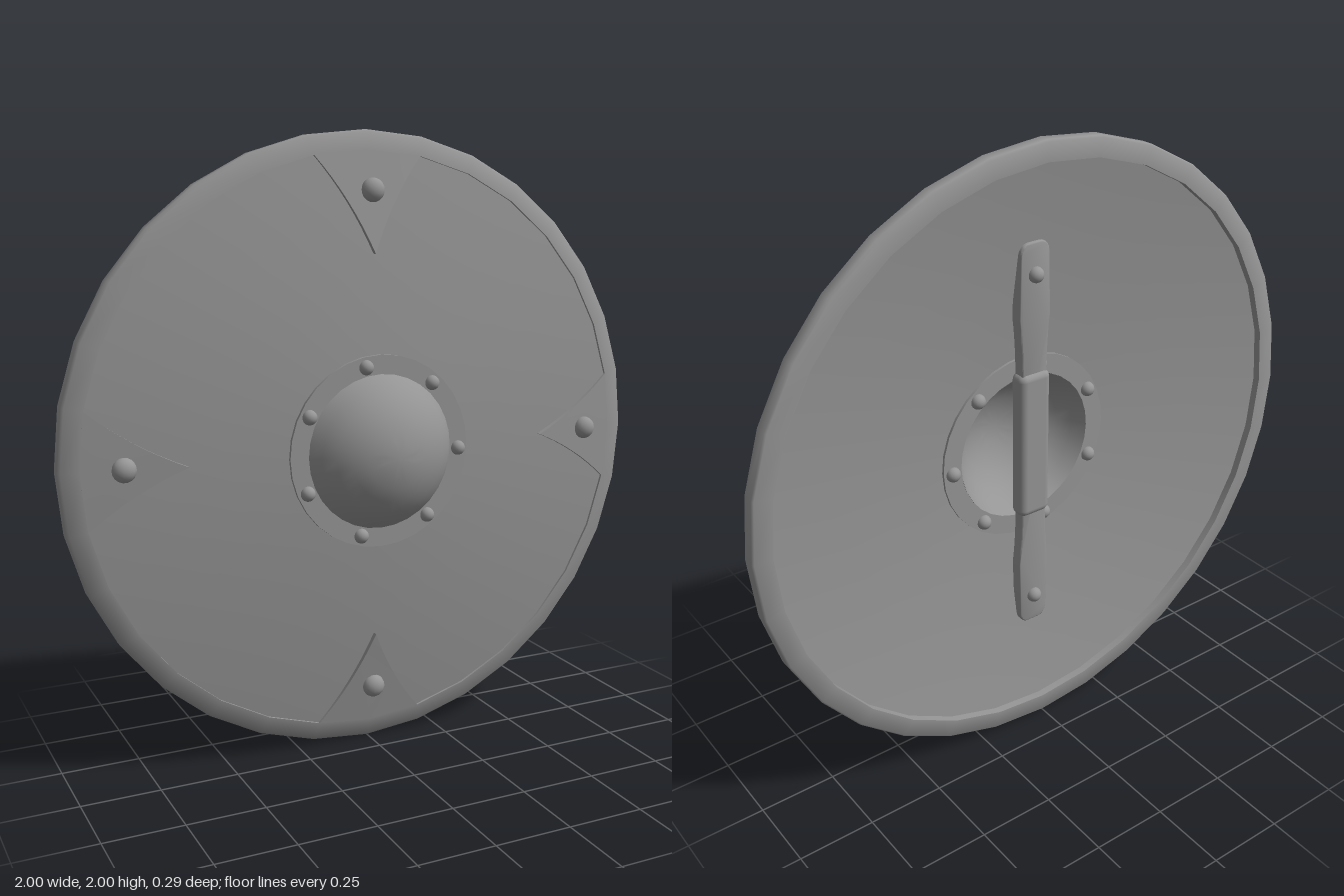
import * as THREE from 'three';
import { toCreasedNormals } from 'three/addons/utils/BufferGeometryUtils.js';
import { RoundedBoxGeometry } from 'three/addons/geometries/RoundedBoxGeometry.js';

const SIDES = 32;
const material = new THREE.MeshStandardMaterial({ color: 0x959595 });

// Front face of the shallow cone: depth at radius r
const coneZ = (r) => -0.09 * (r - 0.3) / 0.64;

export function createModel() {
  const shield = new THREE.Group();
  shield.name = 'roundShield';
  shield.position.y = 1;

  function add(name, geometry, parent = shield) {
    const mesh = new THREE.Mesh(geometry, material);
    mesh.name = name;
    parent.add(mesh);
    return mesh;
  }

  // Turned part about the z axis from [radius, z] pairs, outside going forward
  function turned(name, profile, crease = 0.6) {
    const points = profile.map(([r, z]) => new THREE.Vector2(r, z));
    const geometry = new THREE.LatheGeometry(points, SIDES).rotateX(Math.PI / 2);
    return add(name, toCreasedNormals(geometry, crease));
  }

  // Domed rivet head
  function rivet(name, x, y, z, radius, height = radius, parent = shield) {
    const mesh = add(name, new THREE.SphereGeometry(radius, 14, 10), parent);
    mesh.position.set(x, y, z);
    mesh.scale.z = height / radius;
  }

  // Board with a round opening in the middle
  turned('board', [
    [0.25, -0.03], [0.3, -0.03], [0.96, coneZ(0.96) - 0.03], [0.96, coneZ(0.96)],
    [0.3, 0], [0.25, 0], [0.25, -0.03],
  ]);

  // Rim band
  turned('rim', [
    [0.937, -0.145], [0.994, -0.145], [1, -0.139], [1, -0.102],
    [0.992, -0.092], [0.937, coneZ(0.937) + 0.008], [0.937, -0.145],
  ], 0.95);

  // Ring around the boss, on both faces of the board
  turned('bossRing', [
    [0.245, -0.04], [0.31, -0.04], [0.31, 0.01], [0.245, 0.01], [0.245, -0.04],
  ]);

  // Hollow dome: outer skin forward, inner skin back
  const cap = (edge, height, base) => {
    const R = (edge * edge + height * height) / (2 * height);
    const span = Math.asin(edge / R);
    return Array.from({ length: 7 }, (_, i) => {
      const a = span * (1 - i / 6);
      return [R * Math.sin(a), base + height - R + R * Math.cos(a)];
    });
  };
  turned('boss', [...cap(0.25, 0.137, 0.008), ...cap(0.245, 0.172, -0.041).reverse()]);

  // Seven rivets through the ring
  for (let i = 0; i < 7; i++) {
    const a = (i / 7) * Math.PI * 2 - 0.035;
    const x = 0.277 * Math.cos(a), y = 0.277 * Math.sin(a);
    rivet('ringRivetFront', x, y, 0.012, 0.024);
    rivet('ringRivetBack', x, y, -0.042, 0.024);
  }

  // Four pointed plates, proud at the tip and running flush into the rim
  const plate = new THREE.Shape();
  plate.moveTo(0, 0.62);
  plate.quadraticCurveTo(0.07, 0.79, 0.183, 0.92);
  plate.lineTo(0, 0.938);
  plate.lineTo(-0.183, 0.92);
  plate.quadraticCurveTo(-0.07, 0.79, 0, 0.62);
  let plateGeometry = new THREE.ExtrudeGeometry(plate, { depth: 0.025, bevelEnabled: false, curveSegments: 8 });
  const pos = plateGeometry.attributes.position;
  for (let i = 0; i < pos.count; i++) {
    const r = Math.hypot(pos.getX(i), pos.getY(i));
    const lift = 0.008 + 0.01 * (0.938 - r) / 0.318;
    pos.setZ(i, pos.getZ(i) - 0.025 + coneZ(r) + lift);
  }
  plateGeometry = toCreasedNormals(plateGeometry, 0.5);
  for (let i = 0; i < 4; i++) {
    const a = (i * Math.PI) / 2;
    add('pointedPlate', plateGeometry).rotation.z = a;
    rivet('plateRivet', 0.004 - 0.815 * Math.sin(a), 0.003 + 0.812 * Math.cos(a), -0.057, 0.038, 0.032);
  }

  // Handle at the back
  const handle = new THREE.Group();
  handle.name = 'handle';
  handle.position.set(0.008, 0.03, -0.077);
  shield.add(handle);

  // Waisted strap spanning the opening, in two mirrored halves
  const strap = new THREE.Shape();
  strap.moveTo(0.042, 0);
  strap.lineTo(0.042, 0.26);
  strap.quadraticCurveTo(0.044, 0.36, 0.053, 0.43);
  strap.lineTo(0.048, 0.63);
  strap.quadraticCurveTo(0.045, 0.66, 0.02, 0.66);
  strap.lineTo(-0.02, 0.66);
  strap.quadraticCurveTo(-0.045, 0.66, -0.048, 0.63);
  strap.lineTo(-0.053, 0.43);
  strap.quadraticCurveTo(-0.044, 0.36, -0.042, 0.26);
  strap.lineTo(-0.042, 0);
  const strapGeometry = toCreasedNormals(new THREE.ExtrudeGeometry(strap, {
    depth: 0.03, bevelThickness: 0.005, bevelSize: 0.004, bevelSegments: 2, curveSegments: 5,
  }), 0.9);
  for (const side of [1, -1]) {
    const half = add('handleStrap', strapGeometry, handle);
    half.position.z = -0.015;
    half.rotation.z = side > 0 ? 0 : Math.PI;
    rivet('handleRivet', 0, side * 0.565, -0.022, 0.025, 0.025, handle);
  }

  // Wrapped grip over the middle of the strap
  add('grip', new RoundedBoxGeometry(0.114, 0.5, 0.064, 4, 0.024), handle);

  const model = new THREE.Group();
  model.name = 'shieldModel';
  model.add(shield);
  return model;
}
